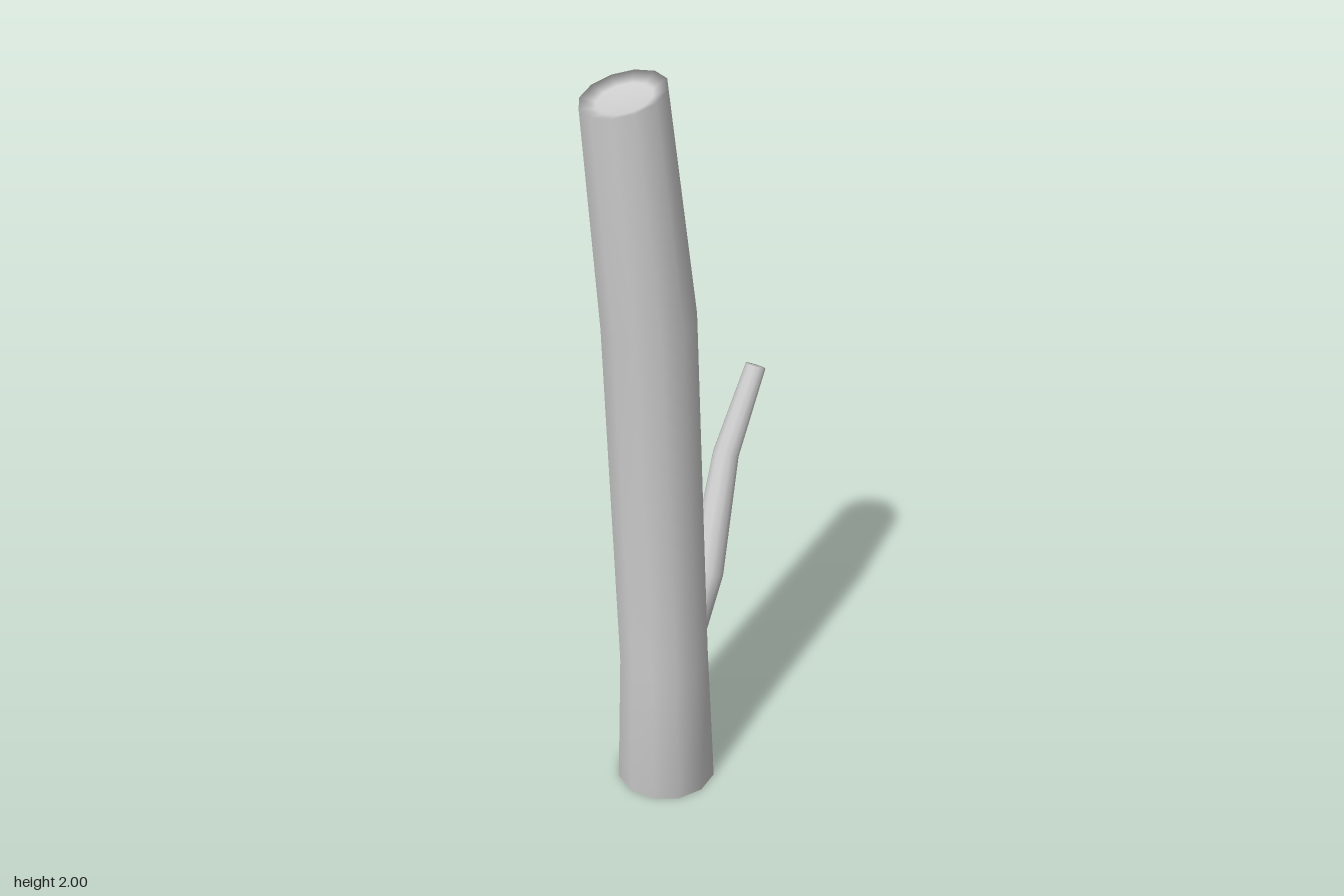
import * as THREE from 'three';

const SIDES = 12;
const UP = new THREE.Vector3(0, 1, 0);

// Skins a closed tube over rings of { c: centre, n: facing, r: radius }, ending in shallow caps.
function limb(name, rings, dip) {
  const pos = [], index = [];
  const first = rings[0], last = rings[rings.length - 1];
  const offset = (ring, d) => ring.c.map((v, i) => v + new THREE.Vector3(...ring.n).normalize().getComponent(i) * d);
  const all = [
    { ...first, c: offset(first, dip * 0.8), r: first.r * 0.65 },
    ...rings,
    { ...last, c: offset(last, -dip * 0.8), r: last.r * 0.65 },
  ];
  for (const { c, n, r } of all) {
    const q = new THREE.Quaternion().setFromUnitVectors(UP, new THREE.Vector3(...n).normalize());
    for (let i = 0; i < SIDES; i++) {
      const a = (i / SIDES) * Math.PI * 2;
      const p = new THREE.Vector3(Math.sin(a) * r, 0, Math.cos(a) * r).applyQuaternion(q);
      pos.push(p.x + c[0], p.y + c[1], p.z + c[2]);
    }
  }
  const bottom = all.length * SIDES, top = bottom + 1;
  pos.push(...offset(first, dip), ...offset(last, -dip));

  for (let i = 0; i < SIDES; i++) {
    const j = (i + 1) % SIDES;
    for (let k = 0; k < all.length - 1; k++) {
      const a = k * SIDES + i, b = k * SIDES + j;
      index.push(a, b, b + SIDES, a, b + SIDES, a + SIDES);
    }
    const t = (all.length - 1) * SIDES;
    index.push(bottom, j, i, top, t + i, t + j);
  }
  const geo = new THREE.BufferGeometry();
  geo.setAttribute('position', new THREE.Float32BufferAttribute(pos, 3));
  geo.setIndex(index);
  geo.computeVertexNormals();
  const mesh = new THREE.Mesh(geo, new THREE.MeshStandardMaterial({ color: 0xcccccc }));
  mesh.name = name;
  return mesh;
}

export function createModel() {
  const group = new THREE.Group();
  group.name = 'deadTree';

  // Leaning trunk, flared at the foot and cut at a slant
  group.add(limb('trunk', [
    { c: [0, 0, 0.117], n: [0, 1, 0], r: 0.139 },
    { c: [0, 0.4, 0.12], n: [0, 1, 0], r: 0.123 },
    { c: [0, 1.4, 0.158], n: [0, 1, 0.08], r: 0.12 },
    { c: [0, 1.968, 0.227], n: [0, 0.95, 0.31], r: 0.104 },
  ], 0.015));

  // Crooked side branch growing from the back
  group.add(limb('branch', [
    { c: [0, 0.46, 0.025], n: [0, 0.85, -0.5], r: 0.056 },
    { c: [0, 0.59, -0.045], n: [-0.1, 0.9, -0.43], r: 0.048 },
    { c: [-0.059, 0.88, -0.182], n: [-0.1, 0.9, -0.42], r: 0.036 },
    { c: [-0.058, 1.107, -0.295], n: [0, 0.9, -0.43], r: 0.028 },
  ], 0.002));

  return group;
}
